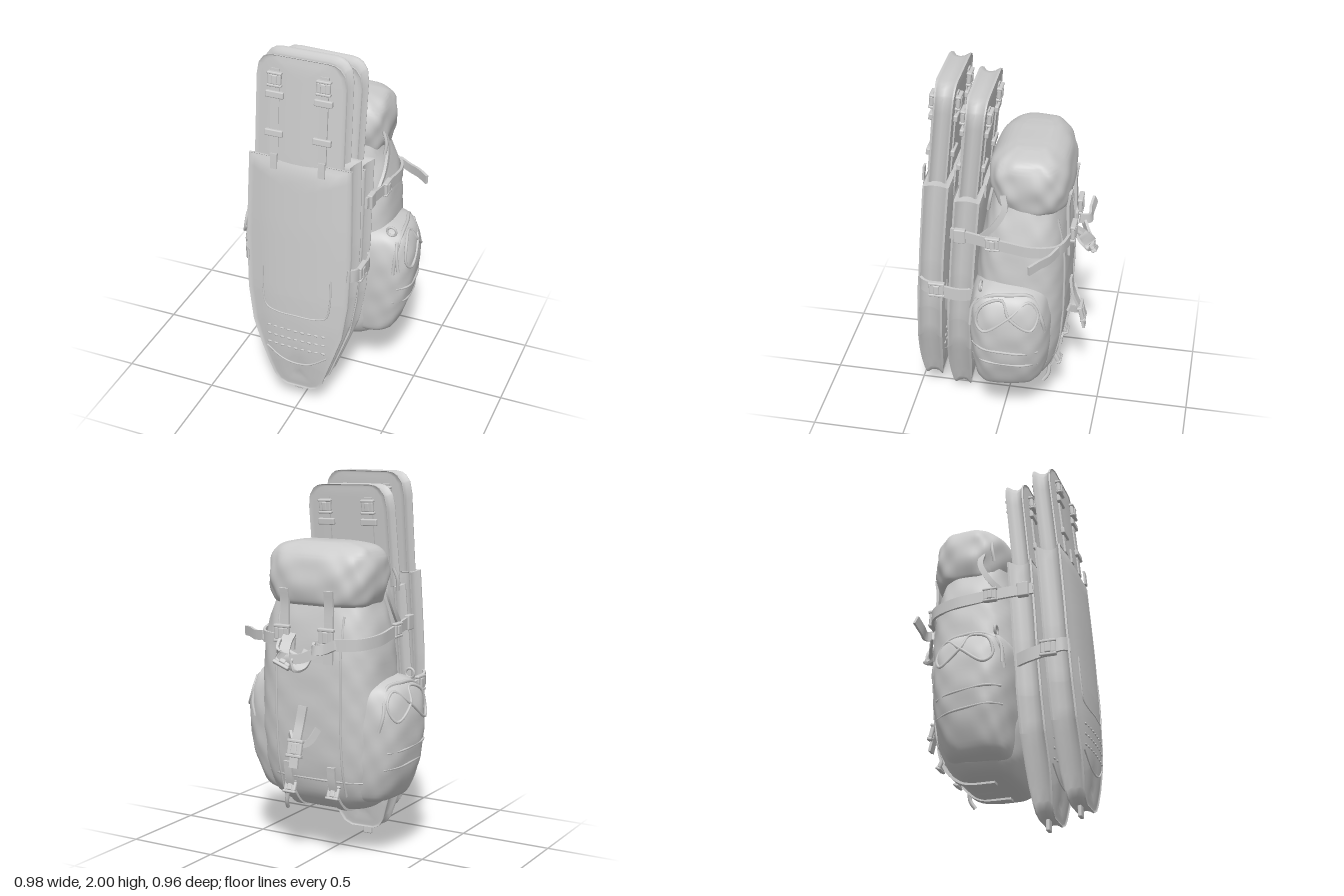
import * as THREE from 'three';
import { toCreasedNormals } from 'three/addons/utils/BufferGeometryUtils.js';
import { RoundedBoxGeometry } from 'three/addons/geometries/RoundedBoxGeometry.js';

const material = new THREE.MeshStandardMaterial({ color: 0xcccccc });
const V = (x, y, z) => new THREE.Vector3(x, y, z);

function add(parent, name, geometry, pos = [0, 0, 0], rot = [0, 0, 0]) {
  const mesh = new THREE.Mesh(geometry, material);
  mesh.name = name;
  mesh.position.set(...pos);
  mesh.rotation.set(...rot);
  parent.add(mesh);
  return mesh;
}

// Linear lookup in rows sorted by their first value; returns the whole row
function lookup(rows, y) {
  let i = 0;
  while (i < rows.length - 2 && y > rows[i + 1][0]) i++;
  const a = rows[i], b = rows[i + 1];
  const t = THREE.MathUtils.clamp((y - a[0]) / (b[0] - a[0]), 0, 1);
  return a.map((v, k) => v + (b[k] - v) * t);
}

// Skin closed rings of points, with strip caps across the first and last ring
function loft(rings, crease = 0.7) {
  const m = rings[0].length, last = (rings.length - 1) * m, pts = rings.flat(), index = [];
  for (let j = 0; j < rings.length - 1; j++) {
    for (let i = 0; i < m; i++) {
      const a = j * m + i, b = j * m + (i + 1) % m;
      index.push(a, b, b + m, a, b + m, a + m);
    }
  }
  for (let i = 0; i < m / 2 - 1; i++) {
    const k = m - 1 - i;
    index.push(i + 1, i, k, i + 1, k, k - 1);
    index.push(last + i, last + i + 1, last + k - 1, last + i, last + k - 1, last + k);
  }
  // turn the faces outward
  let volume = 0;
  for (let i = 0; i < index.length; i += 3) {
    volume += pts[index[i]].dot(pts[index[i + 1]].clone().cross(pts[index[i + 2]]));
  }
  if (volume < 0) index.reverse();
  const g = new THREE.BufferGeometry().setFromPoints(pts);
  g.setIndex(index);
  return toCreasedNormals(g, crease);
}

// Soft bag from rows [y, half width, back z, front z]; skew slides x along z
const POWER = 3.2;
function bag(rows, cx, wrinkle, skew = 0) {
  const wide = new THREE.SplineCurve(rows.map(r => new THREE.Vector2(r[0], r[1])));
  const deep = new THREE.SplineCurve(rows.map(r => new THREE.Vector2(r[2], r[3])));
  const rings = [], steps = 44, m = 72;
  const round = c => Math.sign(c) * Math.abs(c) ** (2 / POWER);
  for (let j = 0; j <= steps; j++) {
    const a = wide.getPoint(j / steps), b = deep.getPoint(j / steps);
    rings.push(Array.from({ length: m }, (_, i) => {
      const t = (i + 0.5) / m * Math.PI * 2, y = a.x;
      const k = 1 + wrinkle * (Math.sin(5 * t + 17 * y) * Math.sin(23 * y + 2 * t) + 0.5 * Math.sin(11 * t - 31 * y));
      const z = (b.x + b.y) / 2 + (b.y - b.x) / 2 * round(Math.sin(t)) * k;
      return V(cx + a.y * round(Math.cos(t)) * k + skew * z, y, z);
    }));
  }
  return loft(rings, 1.2);
}
const bulge = u => Math.max(0, 1 - Math.abs(u) ** POWER) ** (1 / POWER);

// Flat webbing along a curve; dir is the direction of its width
function strap(parent, name, points, width, dir, thick = 0.014) {
  const curve = new THREE.CatmullRomCurve3(points.map(p => V(...p)));
  const n = points.length * 5, rings = [];
  for (let i = 0; i <= n; i++) {
    const p = curve.getPoint(i / n), T = curve.getTangent(i / n);
    const W = V(...dir).addScaledVector(T, -T.dot(V(...dir))).normalize();
    const N = T.clone().cross(W);
    rings.push([[1, 1], [1, -1], [-1, -1], [-1, 1]].map(([a, b]) =>
      p.clone().addScaledVector(W, a * width / 2).addScaledVector(N, b * thick / 2)));
  }
  return add(parent, name, loft(rings));
}

function cord(parent, name, points, radius = 0.006, closed = false) {
  const curve = new THREE.CatmullRomCurve3(points.map(p => V(...p)), closed);
  return add(parent, name, new THREE.TubeGeometry(curve, points.length * 6, radius, 6, closed));
}

// Side release buckle: body, two bars and a centre prong
function buckle(parent, pos, size, rot = [0, 0, 0]) {
  const g = new THREE.Group();
  g.name = 'buckle';
  add(g, 'buckleBody', new RoundedBoxGeometry(size, size * 0.8, 0.022, 2, 0.008));
  for (const s of [-1, 1]) add(g, 'buckleBar', new RoundedBoxGeometry(size * 1.1, size * 0.2, 0.028, 2, 0.006), [0, s * size * 0.45, 0]);
  add(g, 'buckleProng', new RoundedBoxGeometry(size * 0.4, size * 0.7, 0.032, 2, 0.006));
  g.position.set(...pos);
  g.rotation.set(...rot);
  parent.add(g);
}

// Long case: centre line, and [y, half width, half depth] of sheath and insert
const LINE = [[0.1, 0.405], [0.4, 0.402], [0.7, 0.39], [1.1, 0.365], [1.47, 0.335], [2, 0.283]];
const SHEATH = [[0.11, 0.07, 0.035], [0.13, 0.11, 0.04], [0.17, 0.137, 0.045], [0.25, 0.165, 0.055], [0.35, 0.2, 0.062],
  [0.5, 0.25, 0.068], [0.7, 0.278, 0.07], [1, 0.287, 0.07], [1.3, 0.28, 0.07], [1.47, 0.275, 0.07]];
const INSERT = [[1, 0.235, 0.05], [1.5, 0.238, 0.05], [1.88, 0.235, 0.05], [1.94, 0.225, 0.05], [1.975, 0.2, 0.05], [1.99, 0.175, 0.05], [1.996, 0.14, 0.05]];
// front faces curve back toward their sides
const bow = (x, f) => (f > 0 ? 0.03 * f * (0.25 - (x / 0.28) ** 2) : 0);

function slab(rows, puff) {
  const y0 = rows[0][0], y1 = rows.at(-1)[0], mid = (y0 + y1) / 2;
  const ys = [...new Set([...rows.map(r => r[0]), ...Array.from({ length: 22 }, (_, i) => y0 + (y1 - y0) * i / 21)])].sort((a, b) => b - a);
  // [inset, share of half depth]: piped rims with a hollow gusset between
  const half = [[0.008, 0.8], [0, 0.95], [0.002, 1.1], [0.012, 1], [0.03, 1], [0.07, 1 + puff * 0.6], [0.13, 1 + puff], [0.19, 1 + puff], [0.25, 1 + puff]];
  const layers = [...half.map(([d, f]) => [d, -f]).reverse(), [0.025, -0.5], [0.034, 0], [0.025, 0.5], ...half];
  const rings = layers.map(([d, f]) => {
    const side = ys.map(y => {
      const [, w, h] = lookup(rows, y), yy = mid + (y - mid) * (1 - 0.4 * d / (y1 - mid)), x = w * (1 - d / 0.28);
      return V(x, yy, lookup(LINE, yy)[1] + h * f + bow(x, Math.min(f, 1)));
    });
    return [...side, ...side.map(p => V(-p.x, p.y, p.z)).reverse()];
  });
  return loft(rings, 0.8);
}

function longCase(name) {
  const g = new THREE.Group();
  g.name = name;
  add(g, 'sheath', slab(SHEATH, 0.14));
  add(g, 'insert', slab(INSERT, 0.05)).position.x = -0.012;
  const stud = new THREE.SphereGeometry(0.009, 8, 6);
  // both faces carry the same fittings
  for (const f of [-1, 1]) {
    const insertFace = (x, y, lift = 0) => lookup(LINE, y)[1] + f * (0.055 + lift) + bow(x, f);
    const sheathFace = (x, y, lift = 0) => lookup(LINE, y)[1] + f * (lookup(SHEATH, y)[2] * 1.12 + lift) + bow(x, f);
    // webbing, buckles and keepers on the insert
    for (const x of [-0.14, 0.115]) {
      strap(g, 'insertStrap', [1.93, 1.8, 1.6, 1.48].map(y => [x, y, insertFace(x, y)]), 0.045, [1, 0, 0], 0.01);
      strap(g, 'anchorTab', [1.5, 1.47, 1.42].map(y => [x + 0.01, y, sheathFace(x, y, 0.002)]), 0.035, [1, 0, 0], 0.01);
      buckle(g, [x, 1.88, insertFace(x, 1.88, 0.01)], 0.07, [-0.1, 0, 0]);
      for (const y of [1.8, 1.6]) add(g, 'strapKeeper', new RoundedBoxGeometry(0.095, 0.035, 0.022, 2, 0.006), [x, y, insertFace(x, y, 0.006)], [-0.1, 0, 0]);
    }
    // stitched panel edge, stud rows and tip seam
    cord(g, 'panelSeam', [[-0.188, 0.85], [-0.185, 0.7], [-0.165, 0.62], [-0.1, 0.6], [0, 0.6], [0.1, 0.6], [0.165, 0.62], [0.185, 0.7], [0.188, 0.85]]
      .map(([x, y]) => [x, y, sheathFace(x, y)]), 0.005);
    for (let r = 0; r < 3; r++) for (let i = -4; i <= 4; i++) {
      const x = i * 0.038, y = 0.5 - r * 0.055;
      add(g, 'stud', stud, [x, y, sheathFace(x, y)]).scale.set(1.5, 0.7, 0.5);
    }
    cord(g, 'tipSeam', [[-0.17, 0.36], [-0.08, 0.3], [0, 0.285], [0.08, 0.3], [0.17, 0.36]].map(([x, y]) => [x, y, sheathFace(x, y, -0.001)]), 0.005);
  }
  add(g, 'bottomLoop', new RoundedBoxGeometry(0.05, 0.08, 0.02, 2, 0.006), [-0.015, 0.105, 0.4]);
  return g;
}

export function createModel() {
  const model = new THREE.Group();
  model.name = 'backpack';

  // Two cases, the rear one lower and slightly leaning
  model.add(longCase('frontCase'));
  const rear = longCase('rearCase');
  rear.position.set(-0.025, -0.064, -0.157);
  rear.rotation.z = -0.022;
  model.add(rear);

  // Main bag and lid
  const BODY = [[0.255, 0.17, -0.15, 0.06], [0.28, 0.26, -0.2, 0.11], [0.36, 0.32, -0.265, 0.15], [0.5, 0.35, -0.305, 0.165], [0.7, 0.355, -0.325, 0.16],
    [0.9, 0.345, -0.33, 0.15], [1.1, 0.335, -0.325, 0.13], [1.25, 0.31, -0.305, 0.1], [1.36, 0.275, -0.28, 0.08], [1.45, 0.25, -0.25, 0.06]];
  const LID = [[1.34, 0.24, -0.27, 0.02], [1.36, 0.275, -0.32, 0.045], [1.45, 0.3, -0.335, 0.07], [1.54, 0.3, -0.325, 0.08],
    [1.6, 0.285, -0.3, 0.06], [1.64, 0.25, -0.255, 0.01], [1.66, 0.16, -0.21, -0.05]];
  add(model, 'mainBag', bag(BODY, 0, 0.01));
  add(model, 'lid', bag(LID, -0.01, 0.022));
  const backAt = (x, y) => {
    const [, w, b, f] = lookup(BODY, y);
    return (b + f) / 2 - (f - b) / 2 * bulge(x / w) - 0.008;
  };

  const POCKET = [[0.31, 0.1, -0.14, 0.07], [0.35, 0.185, -0.22, 0.12], [0.5, 0.25, -0.262, 0.14], [0.65, 0.277, -0.275, 0.15],
    [0.8, 0.28, -0.275, 0.15], [0.9, 0.255, -0.255, 0.135], [0.95, 0.21, -0.215, 0.1], [0.975, 0.14, -0.13, 0.05]];
  const SKEW = 0.11;
  const pocketAt = (y, z) => {
    const [, w, b, f] = lookup(POCKET, y);
    return 0.2 + w * bulge((z - (b + f) / 2) / ((f - b) / 2)) + SKEW * z + 0.003;
  };

  for (const s of [-1, 1]) {
    // Side pocket with flap edge, crossed cord, bands and zip pulls
    add(model, 'sidePocket', bag(POCKET, s * 0.2, 0.012, s * SKEW));
    const on = (y, z, lift = 0) => [s * (pocketAt(y, z) + lift), y, z];
    cord(model, 'pocketCord', [[0.9, 0.06], [0.93, -0.04], [0.85, -0.08], [0.77, -0.19], [0.85, -0.22], [0.92, -0.17], [0.85, -0.08], [0.76, 0.05], [0.8, 0.09]]
      .map(([y, z]) => on(y, z, 0.004)), 0.008, true);
    cord(model, 'pocketFlapEdge', [[0.74, 0.13], [0.87, 0.11], [0.94, 0.03], [0.95, -0.08], [0.935, -0.18], [0.8, -0.24], [0.72, -0.25]].map(([y, z]) => on(y, z)), 0.01);
    for (const y of [0.63, 0.54]) cord(model, 'pocketBand', [0.12, 0.06, -0.05, -0.15, -0.22].map(z => on(y + z * 0.1, z, -0.002)), 0.007);
    cord(model, 'zipPull', [on(0.92, 0.09, 0.01), on(0.86, 0.12, 0.02), on(0.76, 0.13, 0.03)], 0.009);
    add(model, 'pocketLoop', new THREE.TorusGeometry(0.025, 0.007, 6, 14), [s * 0.375, 0.97, 0.08]);

    // Upper compression strap round the bag
    const band = [[0.295, 1.22, 0.25], [0.31, 1.21, 0.13], [0.328, 1.19, -0.05], [0.328, 1.175, -0.18], [0.275, 1.165, -0.295], [0.16, 1.16, -0.335], [0.06, 1.15, -0.345]];
    strap(model, 'compressionStrap', band.map(([x, y, z]) => [s * x, y, z]), 0.06, [0, 1, 0]);
    buckle(model, [s * 0.327, 1.2, 0.03], 0.07, [0, s * Math.PI / 2, 0]);
    add(model, 'bandKeeper', new RoundedBoxGeometry(0.03, 0.08, 0.06, 2, 0.006), [s * 0.305, 1.215, 0.2]);

    // Strap joining the cases
    strap(model, 'caseStrap', [[0.265, 0.885, 0.43], [0.298, 0.88, 0.4], [0.305, 0.86, 0.32], [0.3, 0.84, 0.22], [0.27, 0.83, 0.14]].map(([x, y, z]) => [s * x, y, z]), 0.07, [0, 1, 0]);
    buckle(model, [s * 0.308, 0.865, 0.33], 0.08, [0, s * Math.PI / 2, 0]);

    // Lid side strap, running down to the bag
    strap(model, 'lidSideStrap', [[0.29, 1.47, -0.02], [0.305, 1.4, -0.03], [0.312, 1.3, 0.02], [0.305, 1.22, 0.09]].map(([x, y, z]) => [s * x, y, z]), 0.03, [0, 0, 1]);
    cord(model, 'lidCordEnd', [[0.3, 1.52, 0.03], [0.32, 1.46, 0.04], [0.315, 1.4, 0.05]].map(([x, y, z]) => [s * x, y, z]), 0.009);

    // Lid closing strap at the back, seam and bottom strap
    const x = s * 0.13;
    strap(model, 'lidStrap', [[x, 1.43, -0.335], [x, 1.35, -0.325], [x, 1.22, -0.33], [x, 1.06, backAt(x, 1.06) - 0.005]], 0.05, [1, 0, 0]);
    buckle(model, [x, 1.2, -0.355], 0.085);
    cord(model, 'backSeam', [1.3, 1.1, 0.9, 0.7, 0.5, 0.36].map(y => [s * 0.19, y, backAt(s * 0.19, y) + 0.006]), 0.007);
    strap(model, 'bottomStrap', [[x, 0.52, -0.31], [x, 0.42, -0.295], [x, 0.33, -0.255], [x, 0.262, -0.17], [x, 0.25, 0]], 0.045, [1, 0, 0]);
    buckle(model, [x, 0.38, -0.285], 0.07, [0.45, 0, 0]);
  }

  // Base seam
  cord(model, 'baseSeam', [-0.28, -0.2, -0.1, 0, 0.1, 0.2, 0.28].map(x => [x, 0.44, backAt(x, 0.44) + 0.006]), 0.007);

  // Loose strap ends and hanging loops at the back
  strap(model, 'sideTail', [[0.28, 1.17, -0.3], [0.35, 1.16, -0.265], [0.41, 1.165, -0.225], [0.47, 1.16, -0.18]], 0.05, [0, 1, 0]);
  strap(model, 'backTail', [[-0.06, 1.15, -0.36], [-0.09, 1.14, -0.41], [-0.15, 1.15, -0.41], [-0.22, 1.18, -0.42]], 0.05, [0, 1, 0.2]);
  strap(model, 'upperLoop', [[0.09, 1.2, -0.34], [0.08, 1.16, -0.4], [0.06, 1.1, -0.445], [0.03, 1.04, -0.43], [0.0, 1.05, -0.38], [-0.02, 1.12, -0.34]], 0.06, [1, 0.3, 0]);
  buckle(model, [0.06, 1.09, -0.435], 0.09, [0.6, 0.2, 0.3]);
  strap(model, 'backCrossStrap', [[-0.1, 1.13, -0.37], [0, 1.09, -0.42], [0.09, 1.11, -0.45], [0.11, 1.17, -0.4]], 0.05, [0, 1, 0]);
  strap(model, 'lowerLoop', [[0.02, 0.83, -0.335], [0.03, 0.74, -0.35], [0.03, 0.65, -0.385], [0.03, 0.52, -0.415]], 0.05, [1, 0, 0]);
  buckle(model, [0.03, 0.62, -0.4], 0.085, [0.25, 0, 0]);
  strap(model, 'lowerCrossStrap', [[-0.07, 0.72, -0.335], [-0.03, 0.65, -0.37], [0.04, 0.64, -0.385], [0.1, 0.68, -0.335]], 0.035, [0, 1, 0]);
  cord(model, 'bottomPull', [[0.17, 0.33, -0.25], [0.18, 0.28, -0.245], [0.19, 0.24, -0.22]], 0.011);
  return model;
}
